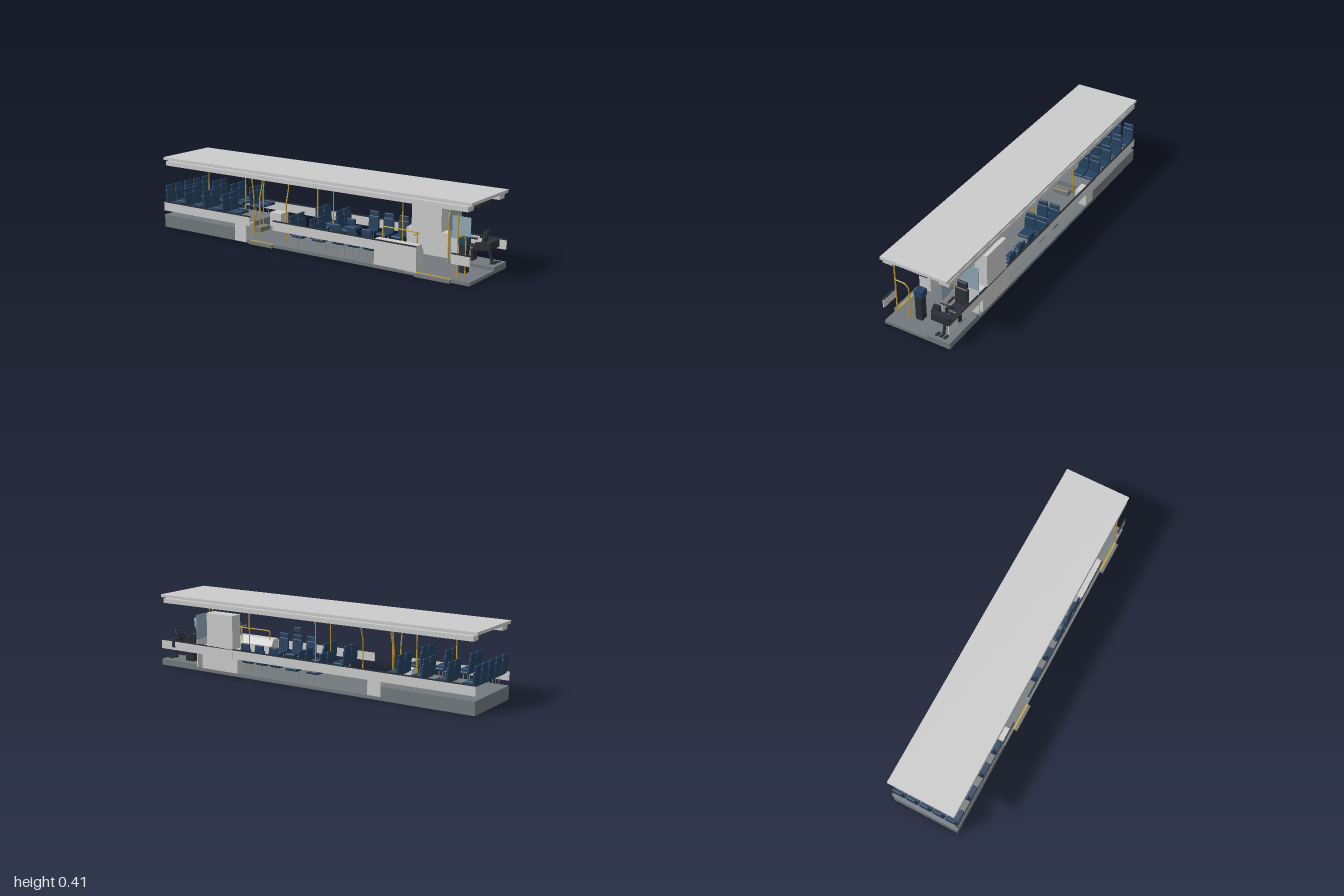
import * as THREE from 'three';
import { RoundedBoxGeometry } from 'three/addons/geometries/RoundedBoxGeometry.js';

const mat = (color) => new THREE.MeshStandardMaterial({ color });
const GREY = mat(0xcccccc), FLOOR = mat(0x73797d), DARK = mat(0x2b2f36), BLUE = mat(0x24405e);
const YELLOW = mat(0xcda32a), GLASS = mat(0x8fa9b5), STEEL = mat(0x9a9da0);

export function createModel() {
  const root = new THREE.Group();
  const add = (name, geo, material, parent = root) => {
    const m = new THREE.Mesh(geo, material);
    m.name = name;
    parent.add(m);
    return m;
  };
  // Box given by its limits on each axis
  const box = (name, x0, x1, y0, y1, z0, z1, material = GREY, parent = root) => {
    const m = add(name, new THREE.BoxGeometry(x1 - x0, y1 - y0, z1 - z0), material, parent);
    m.position.set((x0 + x1) / 2, (y0 + y1) / 2, (z0 + z1) / 2);
    return m;
  };
  const padded = (name, w, h, d, x, y, z, material, parent) => {
    const m = add(name, new RoundedBoxGeometry(w, h, d, 2, Math.min(w, h, d) * 0.35), material, parent);
    m.position.set(x, y, z);
    return m;
  };
  // Bent bar made of straight runs with small rounded corners
  const bar = (name, pts, r = 0.0035, material = YELLOW) => {
    const v = pts.map((p) => new THREE.Vector3(...p));
    const path = new THREE.CurvePath();
    let from = v[0];
    for (let i = 1; i < v.length - 1; i++) {
      const a = v[i].clone().add(v[i - 1].clone().sub(v[i]).setLength(0.015));
      const b = v[i].clone().add(v[i + 1].clone().sub(v[i]).setLength(0.015));
      path.add(new THREE.LineCurve3(from, a));
      path.add(new THREE.QuadraticBezierCurve3(a, v[i], b));
      from = b;
    }
    path.add(new THREE.LineCurve3(from, v[v.length - 1]));
    return add(name, new THREE.TubeGeometry(path, v.length > 2 ? 40 : 1, r, 8), material);
  };

  // Floor, platforms and door sills
  box('floor', -0.187, 0.198, 0, 0.018, -1, 1, FLOOR);
  box('rearPlatform', -0.187, 0.198, 0.018, 0.073, -1, -0.47, FLOOR);
  box('aisleStep', -0.03, 0.062, 0.018, 0.045, -0.47, -0.42, FLOOR);
  box('aisleStepEdge', -0.03, 0.062, 0.045, 0.0465, -0.425, -0.419, YELLOW);
  box('driverPlatform', 0.065, 0.198, 0.018, 0.035, 0.74, 1, FLOOR);
  for (const [z0, z1] of [[0.7, 0.9], [-0.36, -0.2]]) {
    box('doorSill', -0.205, -0.187, 0, 0.017, z0, z1, FLOOR);
    box('doorSillEdge', -0.19, -0.18, 0.018, 0.0195, z0, z1, YELLOW);
  }

  // Roof, air ducts, light strips and front display
  box('roof', -0.186, 0.196, 0.395, 0.411, -1, 1);
  for (const s of [-1, 1]) {
    const c = 0.005;
    const span = (name, a, b, y0, y1) =>
      box(name, Math.min(c + s * a, c + s * b), Math.max(c + s * a, c + s * b), y0, y1, -0.98, 0.98);
    span('roofDuct', 0.134, 0.19, 0.364, 0.389);
    span('lightStrip', 0.12, 0.15, 0.388, 0.392);
  }
  box('display', -0.053, 0.063, 0.36, 0.388, 0.94, 0.97, DARK);

  // Side belts below the windows, open at the two doors
  const belt = (x, z0, z1) => {
    box('sideBelt', x - 0.003, x + 0.003, 0.098, 0.148, z0, z1);
    box('windowSill', x - 0.004, x + 0.004, 0.147, 0.153, z0, z1, DARK);
  };
  belt(0.196, -1, 1);
  for (const [z0, z1] of [[0.9, 1], [-0.2, 0.7], [-1, -0.36]]) belt(-0.188, z0, z1);

  // Wheel housings, chamfered towards the aisle at the entrance
  const profile = new THREE.Shape();
  [[-0.187, 0], [-0.118, 0], [-0.118, 0.115], [-0.14, 0.153], [-0.187, 0.153]]
    .forEach(([x, y], i) => (i ? profile.lineTo(x, y) : profile.moveTo(x, y)));
  const housing = add('frontWheelHousing', new THREE.ExtrudeGeometry(profile, { depth: 0.25, bevelEnabled: false }), GREY);
  housing.position.z = 0.45;
  box('frontWheelHousing', 0.128, 0.197, 0, 0.15, 0.45, 0.7);
  box('equipmentCabinet', 0.128, 0.2, 0.1, 0.338, 0.48, 0.66);
  box('rearWheelHousing', 0.125, 0.197, 0, 0.1, -0.47, -0.39);
  box('rearWheelHousing', -0.187, -0.118, 0, 0.1, -0.47, -0.39);

  // Passenger seat facing +z, standing on its local origin
  const seat = (x, y, z, turn = 0) => {
    const g = new THREE.Group();
    g.name = 'passengerSeat';
    padded('seatCushion', 0.066, 0.016, 0.075, 0, 0.066, 0.042, BLUE, g);
    const back = padded('seatBack', 0.066, 0.078, 0.014, 0, 0.106, -0.001, BLUE, g);
    back.rotation.x = -0.08;
    padded('headrest', 0.058, 0.034, 0.012, 0, 0.155, -0.006, BLUE, g);
    for (const s of [-1, 1]) {
      const leg = add('seatLeg', new THREE.CylinderGeometry(0.002, 0.002, 0.06, 6), STEEL, g);
      leg.position.set(s * 0.022, 0.03, 0.035);
    }
    g.position.set(x, y, z);
    g.rotation.y = turn;
    root.add(g);
  };
  const columns = [-0.151, -0.082, 0.088, 0.158];
  for (const z of [-0.56, -0.7, -0.84]) for (const x of columns) seat(x, 0.073, z);
  for (let i = 0; i < 5; i++) seat(-0.15 + i * 0.0775, 0.073, -0.985);
  for (const z of [0.05, -0.085]) for (const x of columns) seat(x, 0.02, z);
  for (const z of [0.21, 0.305, 0.4]) {
    seat(0.18, 0.02, z, -Math.PI / 2);
    seat(-0.172, 0.02, z, Math.PI / 2);
  }
  padded('headPad', 0.012, 0.032, 0.05, -0.178, 0.219, 0.305, BLUE, root);

  // Overhead rails and floor to ceiling poles
  for (const x of [-0.067, 0.079]) {
    bar('overheadRail', [[x, 0.362, 0.64], [x, 0.362, -0.9]], 0.003);
  }
  const pole = (x, y, z) => bar('pole', [[x, y, z], [x, 0.362, z]]);
  for (const [x, y, z] of [[0.079, 0.018, 0.455], [-0.067, 0.018, 0.01], [0.079, 0.018, 0.01],
    [0.079, 0.073, -0.61], [-0.067, 0.073, -0.76]]) pole(x, y, z);
  // Cranked poles beside the rear door and the platform
  for (const [z, x] of [[-0.185, -0.09], [-0.37, -0.09], [-0.44, -0.055]]) {
    bar('crankedPole', [[x, 0.018, z], [x, 0.23, z], [-0.067, 0.31, z], [-0.067, 0.362, z]]);
  }
  bar('crankedPole', [[0.066, 0.018, -0.47], [0.066, 0.24, -0.47], [0.079, 0.31, -0.47], [0.079, 0.362, -0.47]]);

  // Entrance handrails
  bar('entrancePole', [[-0.167, 0.025, 0.92], [-0.167, 0.345, 0.92]], 0.004);
  bar('entranceHandrail', [[-0.167, 0.227, 0.92], [-0.105, 0.225, 0.92], [-0.087, 0.2, 0.92], [-0.087, 0.02, 0.92]]);
  bar('housingRail', [[-0.182, 0.205, 0.68], [-0.12, 0.205, 0.68], [-0.12, 0.205, 0.46], [-0.12, 0.15, 0.46]]);
  bar('housingRailPost', [[-0.12, 0.205, 0.665], [-0.12, 0.12, 0.665]]);

  // Ticket machine
  box('ticketMachine', -0.063, -0.025, 0.018, 0.16, 0.87, 0.91, DARK);
  box('ticketMachineHead', -0.065, -0.019, 0.16, 0.195, 0.865, 0.912, BLUE);

  // Driver's partition and cab door
  box('partition', 0.068, 0.198, 0.018, 0.178, 0.733, 0.739);
  box('partitionGlass', 0.068, 0.2, 0.178, 0.318, 0.734, 0.738, GLASS);
  box('cabDoor', 0.063, 0.068, 0.02, 0.15, 0.755, 0.865);
  box('cabDoorGlass', 0.064, 0.067, 0.15, 0.27, 0.76, 0.865, GLASS);
  bar('cabPole', [[0.063, 0.018, 0.74], [0.063, 0.25, 0.74], [0.079, 0.32, 0.74], [0.079, 0.362, 0.74]]);

  // Driver's seat
  const cab = new THREE.Group();
  cab.name = 'driverSeat';
  root.add(cab);
  box('seatPedestal', 0.108, 0.158, 0.035, 0.085, 0.8, 0.855, DARK, cab);
  padded('cushion', 0.078, 0.022, 0.08, 0.133, 0.1, 0.828, DARK, cab);
  padded('backrest', 0.074, 0.1, 0.02, 0.133, 0.155, 0.787, DARK, cab).rotation.x = -0.1;
  padded('headrest', 0.058, 0.036, 0.016, 0.133, 0.224, 0.779, DARK, cab);
  for (const x of [0.09, 0.176]) padded('armrest', 0.012, 0.01, 0.055, x, 0.136, 0.82, DARK, cab);

  // Dashboard, steering wheel and pedals
  box('dashboard', 0.075, 0.178, 0.113, 0.152, 0.93, 0.97, DARK);
  box('dashboardWing', 0.052, 0.08, 0.113, 0.15, 0.895, 0.95, DARK).rotation.y = 0.35;
  box('dashboardWing', 0.17, 0.198, 0.113, 0.15, 0.895, 0.95, DARK).rotation.y = -0.35;
  box('controlScreen', 0.07, 0.105, 0.152, 0.18, 0.925, 0.94, DARK);
  bar('steeringColumn', [[0.133, 0.036, 0.955], [0.133, 0.182, 0.915]], 0.008, DARK);
  const wheel = new THREE.Group();
  wheel.name = 'steeringWheel';
  wheel.position.set(0.133, 0.185, 0.913);
  wheel.rotation.x = 0.75;
  root.add(wheel);
  add('wheelRim', new THREE.TorusGeometry(0.034, 0.0035, 8, 28), DARK, wheel);
  for (let i = 0; i < 3; i++) {
    const spoke = new THREE.Group();
    spoke.rotation.z = (i * Math.PI * 2) / 3;
    wheel.add(spoke);
    box('wheelSpoke', -0.003, 0.003, -0.034, 0, -0.002, 0.002, DARK, spoke);
  }
  for (const x of [0.11, 0.133, 0.157]) {
    box('pedal', x - 0.007, x + 0.007, 0.036, 0.042, 0.955, 0.985, DARK).rotation.x = -0.15;
  }
  return root;
}
